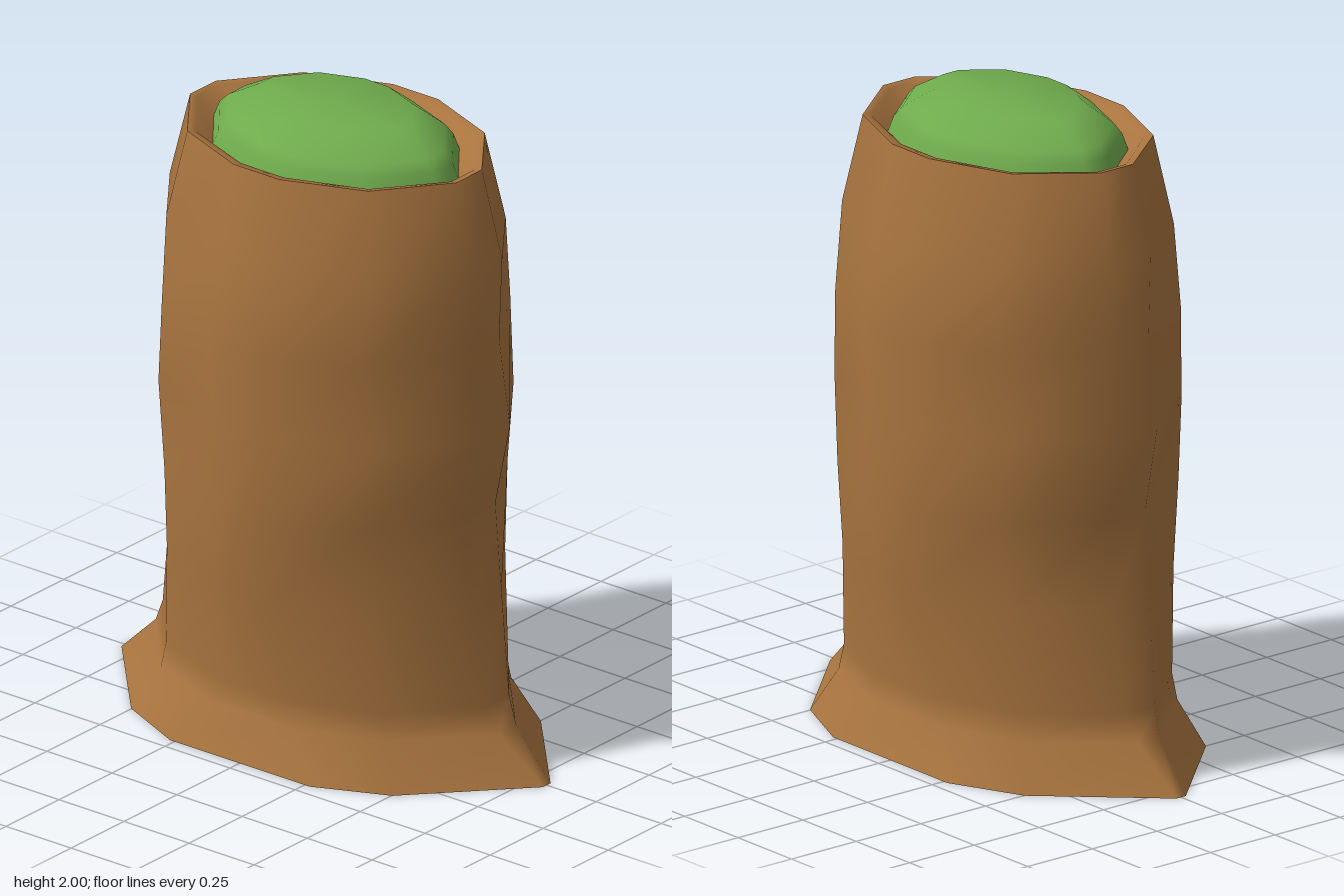
import * as THREE from 'three';

// Quarter outlines as [x, z] fractions, from the side round to the front
const ROUND = [[1, 0.17], [0.73, 0.68], [0.16, 1]];
const POINTED = [[1, 0.33], [0.77, 0.62], [0.04, 1]];
const SIDES = 12;

// Twelve-sided ring: height, half width, half depth, how pointed it is
function ring([y, hx, hz, point = 0]) {
  const quarter = ROUND.map(([x, z], i) => [
    hx * THREE.MathUtils.lerp(x, POINTED[i][0], point),
    hz * THREE.MathUtils.lerp(z, POINTED[i][1], point),
  ]);
  const back = [...quarter].reverse();
  return [
    ...quarter,
    ...back.map(([x, z]) => [-x, z]),
    ...quarter.map(([x, z]) => [-x, -z]),
    ...back.map(([x, z]) => [x, -z]),
  ].map(([x, z]) => [x, y, z]);
}

// Skin a stack of rings; a level with zero size closes the end
function loft(name, levels, material) {
  const positions = levels.flatMap(ring).flat();
  const index = [];
  for (let l = 0; l < levels.length - 1; l++) {
    for (let i = 0; i < SIDES; i++) {
      const a = l * SIDES + i, b = l * SIDES + (i + 1) % SIDES;
      const c = a + SIDES, d = b + SIDES;
      if (levels[l][1] > 0) index.push(a, c, b);
      if (levels[l + 1][1] > 0) index.push(b, c, d);
      else index[index.length - 2] = c;
    }
  }
  const geometry = new THREE.BufferGeometry();
  geometry.setAttribute('position', new THREE.Float32BufferAttribute(positions, 3));
  geometry.setIndex(index);
  geometry.computeVertexNormals();
  const mesh = new THREE.Mesh(geometry, material);
  mesh.name = name;
  return mesh;
}

export function createModel() {
  const group = new THREE.Group();
  group.name = 'stump';
  const wood = new THREE.MeshStandardMaterial({ color: 0xa8743f });
  const moss = new THREE.MeshStandardMaterial({ color: 0x6fab4d });

  // Trunk with a flared, pointed foot
  group.add(loft('trunk', [
    [0, 0.455, 0.81, 1],
    [0.14, 0.4, 0.66, 0.5],
    [0.22, 0.395, 0.62, 0.15],
    [0.55, 0.43, 0.58],
    [0.82, 0.48, 0.55],
    [1.09, 0.45, 0.61],
    [1.36, 0.48, 0.565],
    [1.63, 0.43, 0.583],
    [1.905, 0.376, 0.512],
  ], wood));

  // Flat underside
  group.add(loft('underside', [[0, 0, 0, 1], [0, 0.455, 0.81, 1]], wood));

  // Rim edge and the hollow inside it
  group.add(loft('rim', [
    [1.905, 0.376, 0.512],
    [1.9, 0.347, 0.487],
    [1.84, 0.29, 0.41],
  ], wood));

  // Domed top filling the hollow
  group.add(loft('mossTop', [
    [1.83, 0.315, 0.44],
    [1.905, 0.29, 0.41],
    [1.935, 0.27, 0.38],
    [2, 0.19, 0.265],
    [2, 0, 0],
  ], moss));

  return group;
}
